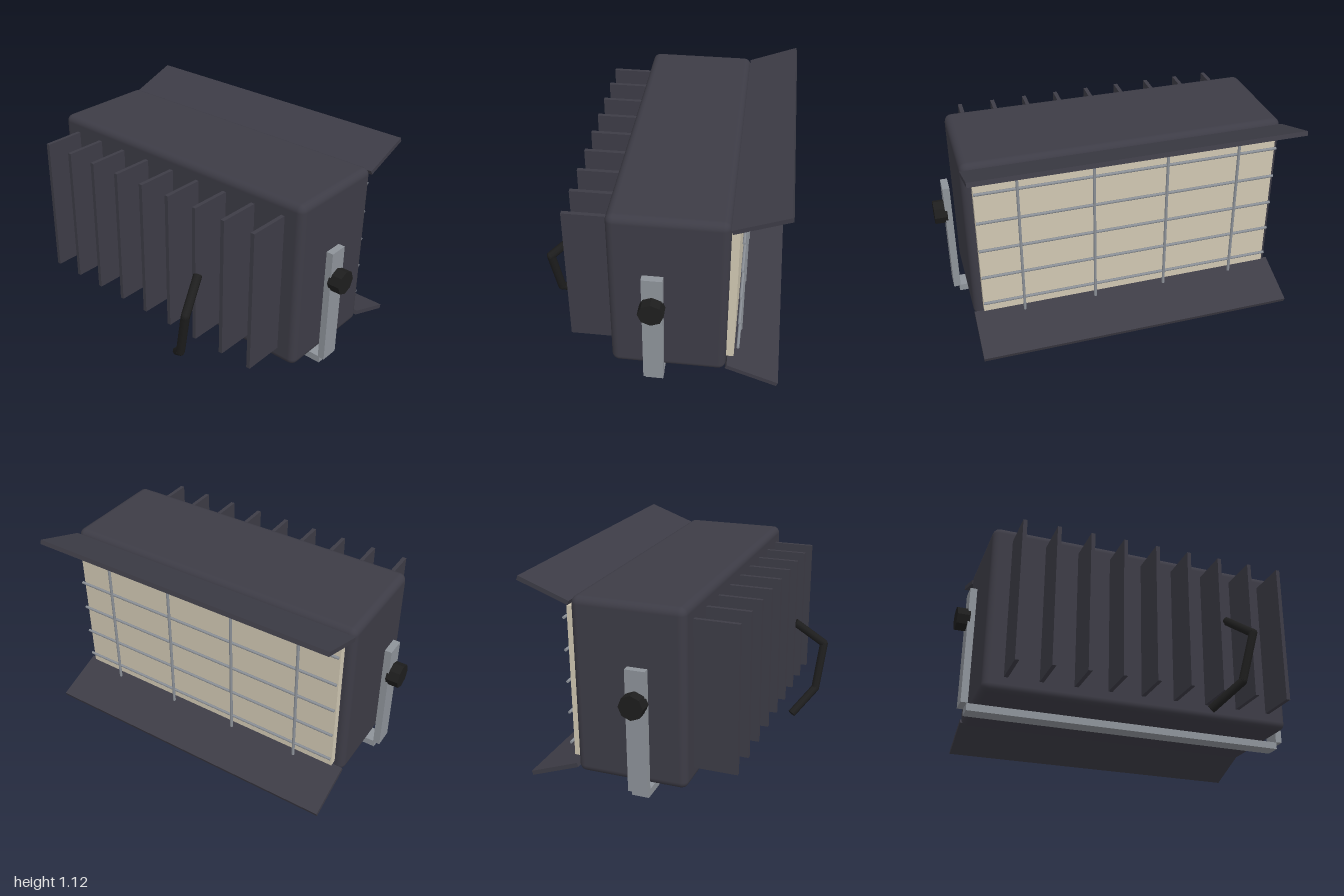
import * as THREE from 'three';
import { RoundedBoxGeometry } from 'three/addons/geometries/RoundedBoxGeometry.js';

export function createModel() {
  const model = new THREE.Group();
  model.name = 'floodlight';

  const material = (name, color) => {
    const m = new THREE.MeshStandardMaterial({ color });
    m.name = name;
    return m;
  };
  const housing = material('dark housing', 0x3d3c46);
  const steel = material('grey steel', 0x8e939a);
  const glass = material('cream lens', 0xd0c7b2);
  const rubber = material('black', 0x1e1e1e);

  const add = (name, geometry, mat, x = 0, y = 0, z = 0) => {
    const mesh = new THREE.Mesh(geometry, mat);
    mesh.name = name;
    mesh.position.set(x, y, z);
    model.add(mesh);
    return mesh;
  };
  const box = (name, mat, w, h, d, x, y, z) =>
    add(name, new THREE.BoxGeometry(w, h, d), mat, x, y, z);

  // Capped rod between two points
  const rod = (name, mat, a, b, radius, sides) => {
    const dir = b.clone().sub(a);
    const mesh = add(name, new THREE.CylinderGeometry(radius, radius, dir.length(), sides), mat);
    mesh.position.copy(a).add(b).multiplyScalar(0.5);
    mesh.quaternion.setFromUnitVectors(new THREE.Vector3(0, 1, 0), dir.normalize());
    return mesh;
  };
  const v = (x, y, z) => new THREE.Vector3(x, y, z);

  // Lamp housing
  add('housing', new RoundedBoxGeometry(1.74, 0.965, 0.605, 3, 0.04), housing, 0, 0.5625, -0.0675);

  // Cooling fins on the front
  for (let i = -4; i <= 4; i++) {
    box('coolingFin', housing, 0.022, 0.805, 0.25, i * 0.188, 0.5625, 0.345);
  }

  // Lens on the back
  box('lens', glass, 1.64, 0.83, 0.06, 0, 0.5625, -0.38);

  // Wire guard over the lens
  for (let i = -2; i <= 2; i++) {
    const y = 0.5625 + i * 0.174;
    rod('guardWireHorizontal', steel, v(-0.82, y, -0.43), v(0.82, y, -0.43), 0.008, 6);
  }
  for (const x of [-0.6, -0.2, 0.2, 0.6]) {
    rod('guardWireVertical', steel, v(x, 0.133, -0.436), v(x, 0.992, -0.436), 0.008, 6);
  }

  // Flared flaps above and below the lens
  for (const s of [1, -1]) {
    const flap = box('barnDoor', housing, 1.74, 0.024, 0.293, 0, 0.5625 + s * 0.497, -0.51);
    flap.rotation.x = s * 0.35;
  }

  // Mounting yoke with clamp knobs
  box('yokeBar', steel, 1.82, 0.04, 0.094, 0, 0.047, 0);
  for (const s of [1, -1]) {
    box('yokeArm', steel, 0.038, 0.668, 0.106, s * 0.923, 0.401, 0);
    const knob = add('knob', new THREE.CylinderGeometry(0.066, 0.066, 0.07, 8), rubber, s * 0.965, 0.5625, 0);
    knob.rotation.z = Math.PI / 2;
    knob.geometry = knob.geometry.toNonIndexed();
    knob.geometry.computeVertexNormals();
  }

  // Bent handle on the front
  const path = [v(0.4, 0.575, 0.465), v(0.467, 0.437, 0.633), v(0.403, 0.163, 0.606), v(0.27, 0.03, 0.495)];
  for (let i = 0; i < 3; i++) {
    rod('handle', rubber, path[i], path[i + 1], 0.024, 8);
    if (i > 0) {
      add('handleElbow', new THREE.SphereGeometry(0.024, 8, 6), rubber, ...path[i].toArray());
    }
  }

  return model;
}
